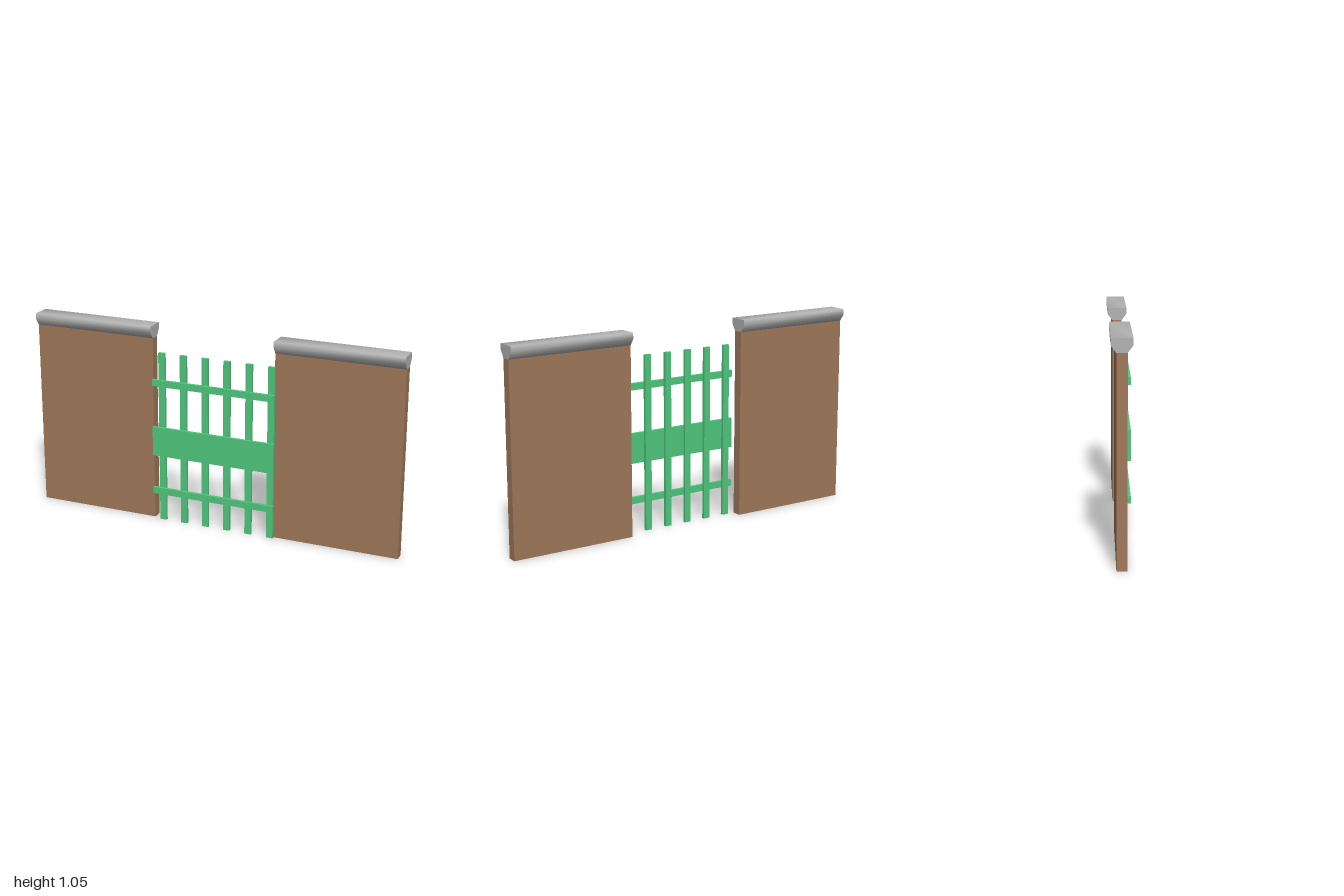
import * as THREE from 'three';

const wallBrown = new THREE.MeshStandardMaterial({ name: 'wall brown', color: 0xa0785a });
const capGrey = new THREE.MeshStandardMaterial({ name: 'cap grey', color: 0xb2b2b2 });
const gateGreen = new THREE.MeshStandardMaterial({ name: 'gate green', color: 0x50c87e });

// Box given by its minimum and maximum corners
function box(name, min, max, material) {
  const size = max.map((v, i) => v - min[i]);
  const mesh = new THREE.Mesh(new THREE.BoxGeometry(...size), material);
  mesh.position.set(...max.map((v, i) => (v + min[i]) / 2));
  mesh.name = name;
  return mesh;
}

// Coping: a profile swept along x, smooth around its sides and flat at its ends
function copingGeometry(length) {
  const profile = [ // [z, y], running from the front bottom edge over the top to the back
    [0.025, 0], [0.05, 0.034], [0.05, 0.066],
    [-0.05, 0.066], [-0.05, 0.034], [-0.025, 0],
  ];
  const n = profile.length;
  const positions = [];
  const index = [];
  // Two rings for the sides, then two more for the ends
  for (const x of [-length / 2, length / 2, -length / 2, length / 2]) {
    for (const [z, y] of profile) positions.push(x, y, z);
  }
  for (let i = 0; i < n; i++) {
    const j = (i + 1) % n;
    index.push(i, n + i, n + j, i, n + j, j);
  }
  for (let i = 1; i < n - 1; i++) {
    index.push(2 * n, 2 * n + i, 2 * n + i + 1);
    index.push(3 * n, 3 * n + i + 1, 3 * n + i);
  }
  const geometry = new THREE.BufferGeometry();
  geometry.setAttribute('position', new THREE.Float32BufferAttribute(positions, 3));
  geometry.setIndex(index);
  geometry.computeVertexNormals();
  return geometry;
}

export function createModel() {
  const model = new THREE.Group();
  model.name = 'gatedWall';

  // Two wall panels with their coping
  const inner = 0.334;
  const coping = copingGeometry(1 - inner);
  for (const side of [-1, 1]) {
    const wall = new THREE.Group();
    wall.name = side < 0 ? 'rightWall' : 'leftWall';
    const x0 = side < 0 ? -1 : inner;
    const x1 = x0 + 1 - inner;
    wall.add(box('wallPanel', [x0, 0, -0.028], [x1, 0.984, 0.022], wallBrown));
    const cap = new THREE.Mesh(coping, capGrey);
    cap.name = 'wallCoping';
    cap.position.set((x0 + x1) / 2, 0.984, -0.003);
    wall.add(cap);
    model.add(wall);
  }

  // Gate pickets
  const gate = new THREE.Group();
  gate.name = 'gate';
  for (let i = 0; i < 6; i++) {
    const x = -0.279 + i * 0.12;
    gate.add(box('picket', [x - 0.0175, 0, 0.0225], [x + 0.0175, 0.916, 0.0385], gateGreen));
  }

  // Rails and the wide middle board across the front of the pickets
  for (const [name, y0, y1] of [
    ['lowerRail', 0.148, 0.183],
    ['middleBoard', 0.361, 0.518],
    ['upperRail', 0.74, 0.775],
  ]) {
    gate.add(box(name, [-0.327, y0, 0.0385], [0.343, y1, 0.054], gateGreen));
  }
  model.add(gate);

  return model;
}
